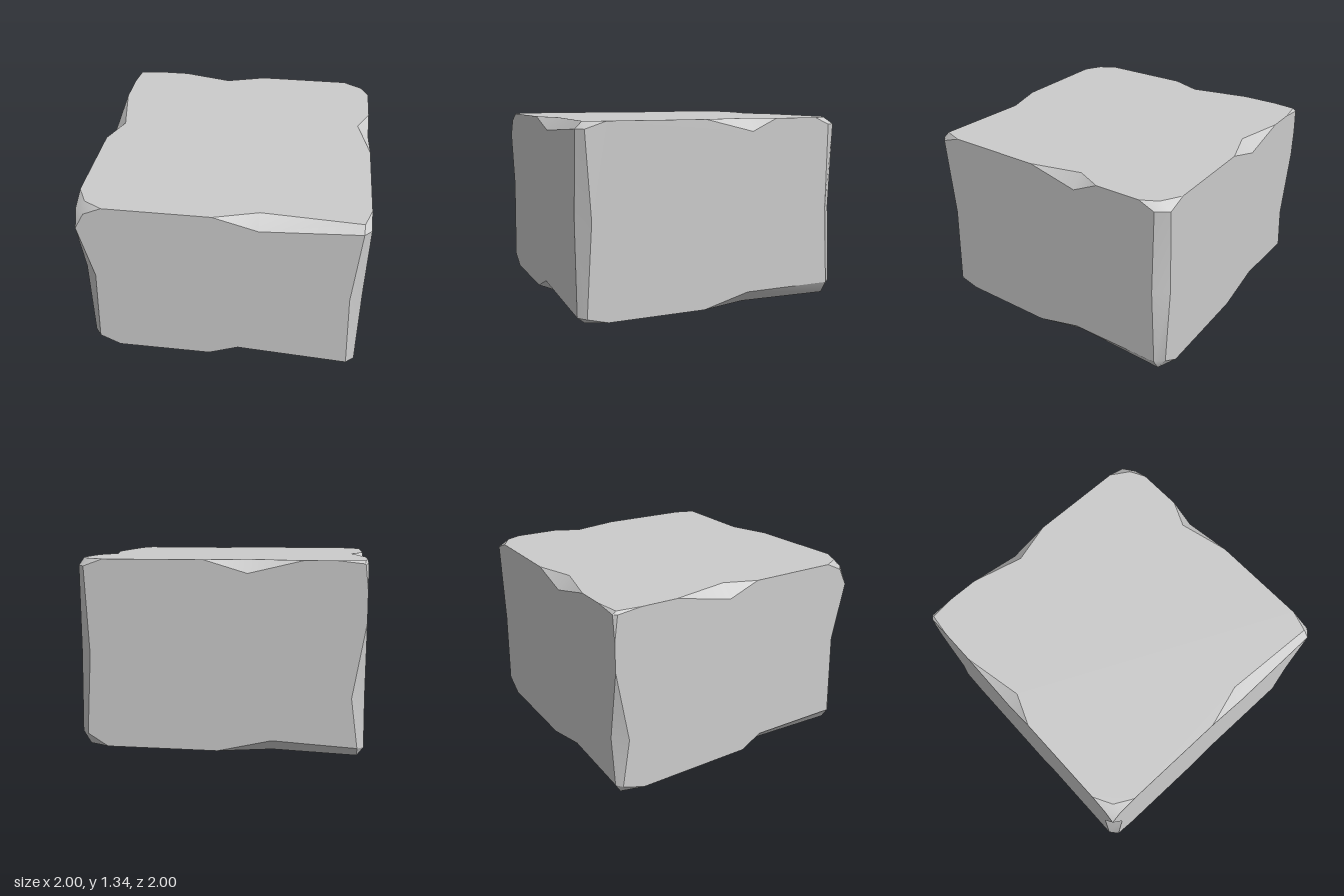
import * as THREE from 'three';
import { toCreasedNormals } from 'three/addons/utils/BufferGeometryUtils.js';

const HALF = [1, 0.6675, 1]; // half sizes of the block
const CHIP_DEPTH = 0.09;
const CORNER_REACH = 0.2; // how far corner wear runs along a sound edge
const SIGN_PAIRS = [[1, 1], [1, -1], [-1, 1], [-1, -1]];

// Corner wear in x, y and z, keyed by the signs of the corner
const CORNER_WEAR = {
  '1,1,1': [0.05, 0.05, 0.05],
  '-1,1,1': [0.07, 0.06, 0.07],
  '1,1,-1': [0.06, 0.05, 0.085],
  '-1,1,-1': [0.02, 0.02, 0.025],
  '1,-1,1': [0.06, 0.04, 0.05],
  '-1,-1,1': [0.05, 0.08, 0.06],
  '1,-1,-1': [0.055, 0.09, 0.06],
  '-1,-1,-1': [0.045, 0.06, 0.035],
};

// One chip per edge: start, deepest point, end (null runs on into the corner).
// Edges along x, y, z; each group follows SIGN_PAIRS of the next two axes.
const CHIPS = [
  [[-0.05, 0.26, null], [-0.58, -0.2, 0.1], [-0.1, 0.12, null], [null, -0.37, 0.01]],
  [[null, 0.02, null], [null, 0.05, 0.48], [null, 0, null], [null, -0.26, 0.26]],
  [[-0.47, -0.28, 0.09], [null, -0.26, 0.09], [-0.54, -0.1, 0.13], [0.07, 0.23, null]],
];

// Turns a chip into [position, depth] stations along its edge
function chipStations([start, deepest, end], half) {
  const sound = half - CORNER_REACH;
  const stations = [[deepest, CHIP_DEPTH]];
  if (start !== null) {
    stations.unshift([start, 0]);
    if (start > -sound) stations.unshift([-sound, 0]);
  }
  if (end !== null) {
    stations.push([end, 0]);
    if (end < sound) stations.push([sound, 0]);
  }
  return stations;
}

function createStoneGeometry() {
  const positions = [];
  const sides = {}; // outline points of the six flat sides
  const addToSide = (axis, sign, p) => (sides[`${axis},${sign}`] ??= []).push(p);

  // Adds a triangle turned outward, skipping empty ones
  function triangle(a, b, c) {
    const n = b.clone().sub(a).cross(c.clone().sub(a));
    if (n.length() < 1e-7) return;
    const outward = a.clone().add(b).add(c).dot(n) > 0;
    for (const p of outward ? [a, b, c] : [a, c, b]) positions.push(p.x, p.y + HALF[1], p.z);
  }

  // Cut corners: one point on each of the three sides
  const corners = {};
  for (const [key, wear] of Object.entries(CORNER_WEAR)) {
    const signs = key.split(',').map(Number);
    corners[key] = signs.map((sign, side) => {
      const p = signs.map((s, i) => s * (HALF[i] - (i === side ? 0 : wear[i])));
      return new THREE.Vector3(...p);
    });
    corners[key].forEach((p, side) => addToSide(side, signs[side], p));
    triangle(...corners[key]);
  }

  // Worn edges: a strip between the outlines of two sides
  CHIPS.forEach((chips, axis) => chips.forEach((chip, i) => {
    const u = (axis + 1) % 3, v = (axis + 2) % 3;
    const [su, sv] = SIGN_PAIRS[i];
    const place = (t, pu, pv) => {
      const p = [];
      p[axis] = t;
      p[u] = pu;
      p[v] = pv;
      return p;
    };
    const end = (s) => {
      const points = corners[place(s, su, sv).join()];
      return [points[u], points[v]];
    };
    const middle = chipStations(chip, HALF[axis]).map(([t, depth]) => [
      new THREE.Vector3(...place(t, su * HALF[u], sv * (HALF[v] - depth))),
      new THREE.Vector3(...place(t, su * (HALF[u] - depth), sv * HALF[v])),
    ]);
    for (const [a, b] of middle) {
      addToSide(u, su, a);
      addToSide(v, sv, b);
    }
    const strip = [end(-1), ...middle, end(1)];
    for (let k = 0; k < strip.length - 1; k++) {
      const [a, b] = strip[k], [c, d] = strip[k + 1];
      triangle(a, b, c);
      triangle(b, d, c);
    }
  }));

  // Flat sides: outline points sorted around the centre and filled
  for (const [key, points] of Object.entries(sides)) {
    const axis = Number(key.split(',')[0]);
    const u = (axis + 1) % 3, v = (axis + 2) % 3;
    const angle = (p) => Math.atan2(p.getComponent(v), p.getComponent(u));
    points.sort((a, b) => angle(a) - angle(b));
    const outline = points.map((p) => new THREE.Vector2(p.getComponent(u), p.getComponent(v)));
    for (const [a, b, c] of THREE.ShapeUtils.triangulateShape(outline, [])) {
      triangle(points[a], points[b], points[c]);
    }
  }

  const geometry = new THREE.BufferGeometry();
  geometry.setAttribute('position', new THREE.Float32BufferAttribute(positions, 3));
  return toCreasedNormals(geometry, 0.5);
}

export function createModel() {
  const group = new THREE.Group();
  group.name = 'stoneBlock';
  const stone = new THREE.Mesh(
    createStoneGeometry(),
    new THREE.MeshStandardMaterial({ color: 0xcccccc }),
  );
  stone.name = 'wornStone';
  group.add(stone);
  return group;
}
